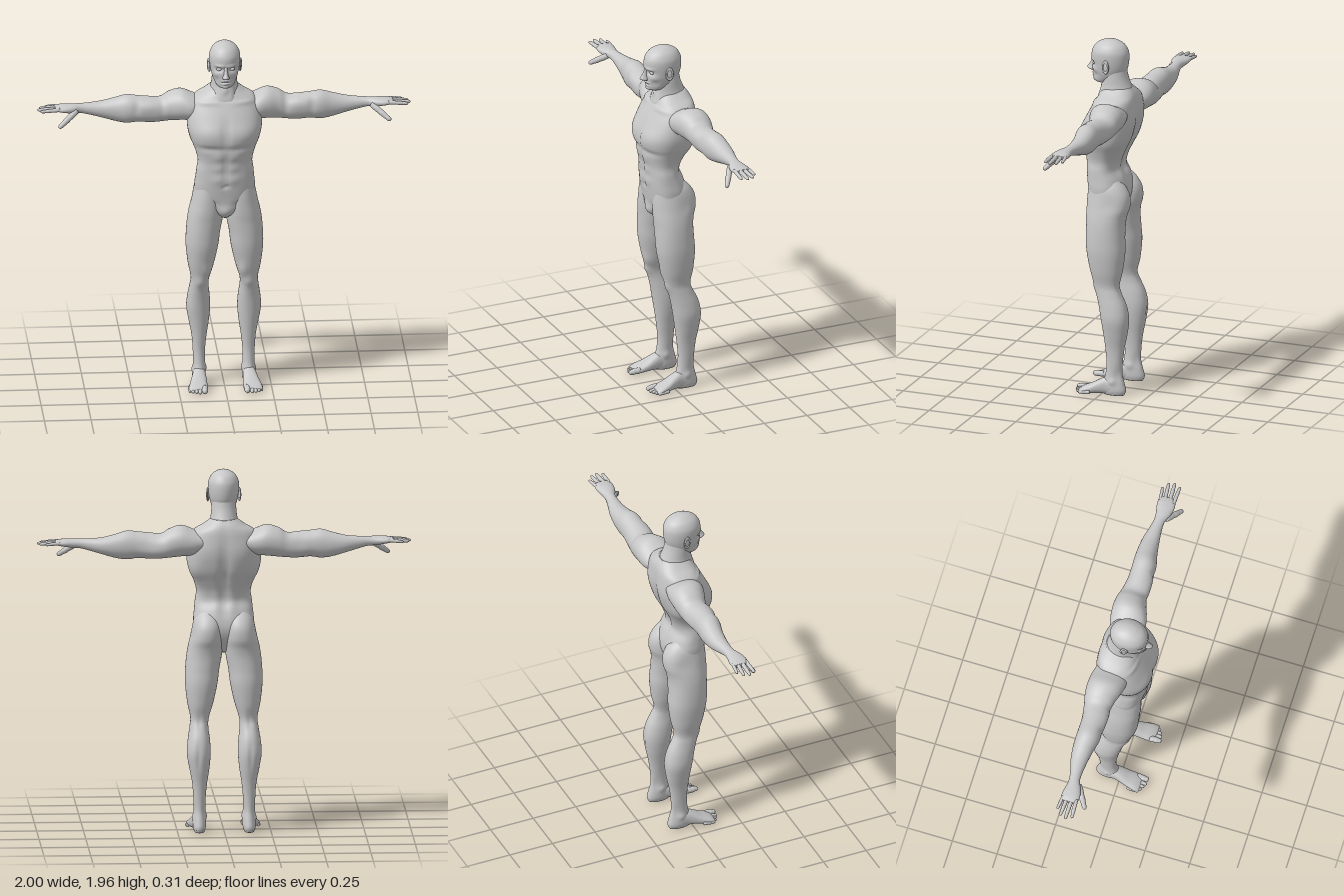
import * as THREE from 'three';

const skin = new THREE.MeshStandardMaterial({ color: 0xc8c8c8 });
skin.name = 'skin grey';

// Catmull-Rom blend of whole rows
function blend(rows, i, f) {
  const at = (k) => rows[Math.min(rows.length - 1, Math.max(0, k))];
  const [p, q, r, s] = [at(i - 1), at(i), at(i + 1), at(i + 2)];
  return q.map((_, c) => q[c] + 0.5 * f * (r[c] - p[c] +
    f * (2 * p[c] - 5 * q[c] + 4 * r[c] - s[c] + f * (3 * (q[c] - r[c]) + s[c] - p[c]))));
}

// Smooth closed loft. A row is [t, a0, a1, b0, b1]; axes (t,a,b) are
// x: (x,y,z)   y: (y,z,x)   z: (z,x,y).
// Muscles are soft bumps [x,y,z, sx,sy,sz, amount] pushed along the normal.
function loft(axis, rows, { power = 2, seg = 40, steps = 6, muscles = [] } = {}) {
  if (rows[0][0] > rows[rows.length - 1][0]) rows = [...rows].reverse();
  const shift = 'xyz'.indexOf(axis), pos = [], idx = [];
  const put = (t, a, b) => {
    const v = [0, 0, 0];
    [t, a, b].forEach((n, k) => { v[(shift + k) % 3] = n; });
    pos.push(...v);
  };
  const soft = (n) => Math.sign(n) * Math.abs(n) ** (2 / power);
  const rings = [];
  for (let i = 0; i < rows.length - 1; i++)
    for (let k = 0; k < steps; k++) rings.push(blend(rows, i, k / steps));
  rings.push(rows[rows.length - 1]);
  for (const [t, a0, a1, b0, b1] of rings)
    for (let j = 0; j < seg; j++) {
      const w = (j / seg) * Math.PI * 2;
      put(t, (a0 + a1) / 2 + (a1 - a0) / 2 * soft(Math.cos(w)), (b0 + b1) / 2 + (b1 - b0) / 2 * soft(Math.sin(w)));
    }
  for (let i = 0; i < rings.length - 1; i++)
    for (let j = 0; j < seg; j++) {
      const a = i * seg + j, b = i * seg + (j + 1) % seg;
      idx.push(a, b, b + seg, a, b + seg, a + seg);
    }
  // end caps
  for (const end of [0, rings.length - 1]) {
    const [t, a0, a1, b0, b1] = rings[end], c = pos.length / 3;
    put(t, (a0 + a1) / 2, (b0 + b1) / 2);
    for (let j = 0; j < seg; j++) {
      const a = end * seg + j, b = end * seg + (j + 1) % seg;
      idx.push(c, ...(end ? [a, b] : [b, a]));
    }
  }
  const g = new THREE.BufferGeometry();
  g.setAttribute('position', new THREE.Float32BufferAttribute(pos, 3));
  g.setIndex(idx);
  g.computeVertexNormals();
  if (muscles.length) {
    const p = g.attributes.position, n = g.attributes.normal;
    for (let i = 0; i < p.count; i++) {
      let d = 0;
      for (const [x, y, z, sx, sy, sz, amount] of muscles)
        d += amount * Math.exp(-(((Math.abs(p.getX(i)) - x) / sx) ** 2) - ((p.getY(i) - y) / sy) ** 2 - ((p.getZ(i) - z) / sz) ** 2);
      p.setXYZ(i, p.getX(i) + n.getX(i) * d, p.getY(i) + n.getY(i) * d, p.getZ(i) + n.getZ(i) * d);
    }
    g.computeVertexNormals();
  }
  return g;
}

// Rows symmetric about x = 0: [y, zBack, zFront, halfWidth]
const centred = (rows) => rows.map(([y, b, f, w]) => [y, b, f, -w, w]);

// Jointed finger or toe between two points
function digit(from, to, r) {
  const a = new THREE.Vector3(...from), d = new THREE.Vector3(...to).sub(a), L = d.length();
  const rows = [[0, 0.9], [0.25, 1], [0.45, 0.9], [0.55, 0.97], [0.75, 0.82], [0.9, 0.74], [0.97, 0.5], [1, 0.1]]
    .map(([t, s]) => [t * L, -r * s, r * s, -r * s, r * s]);
  const g = loft('x', rows, { seg: 14, steps: 3 });
  g.applyQuaternion(new THREE.Quaternion().setFromUnitVectors(new THREE.Vector3(1, 0, 0), d.normalize()));
  return g.translate(a.x, a.y, a.z);
}

function mirror(g) {
  const m = g.clone().scale(-1, 1, 1), i = m.index.array;
  for (let k = 0; k < i.length; k += 3) [i[k], i[k + 1]] = [i[k + 1], i[k]];
  m.computeVertexNormals();
  return m;
}

export function createModel() {
  const model = new THREE.Group();
  model.name = 'standing figure';
  const add = (name, g) => {
    const m = new THREE.Mesh(g, skin);
    m.name = name;
    model.add(m);
  };
  const pair = (name, g) => { add('left ' + name, g); add('right ' + name, mirror(g)); };

  // Trunk with chest, abdomen and back muscles
  add('torso', loft('y', centred([
    [0.97, -0.04, 0.05, 0.02], [1.0, -0.06, 0.085, 0.055], [1.05, -0.09, 0.098, 0.13], [1.1, -0.105, 0.105, 0.157],
    [1.15, -0.102, 0.112, 0.162], [1.2, -0.085, 0.117, 0.157], [1.25, -0.06, 0.118, 0.152], [1.3, -0.07, 0.123, 0.146],
    [1.36, -0.1, 0.135, 0.16], [1.42, -0.13, 0.144, 0.183], [1.48, -0.146, 0.139, 0.198], [1.54, -0.152, 0.118, 0.198],
    [1.6, -0.15, 0.088, 0.185], [1.64, -0.145, 0.065, 0.16], [1.67, -0.135, 0.05, 0.11], [1.7, -0.115, 0.03, 0.07],
  ]), {
    power: 2.4, seg: 72, steps: 7, muscles: [
      [0.09, 1.46, 0.13, 0.08, 0.055, 0.08, 0.011], [0.08, 1.385, 0.13, 0.09, 0.016, 0.06, -0.007],
      [0, 1.47, 0.14, 0.013, 0.08, 0.05, -0.008], [0, 1.27, 0.13, 0.011, 0.09, 0.05, -0.006],
      [0.04, 1.335, 0.12, 0.03, 0.025, 0.05, 0.005], [0.04, 1.27, 0.12, 0.03, 0.025, 0.05, 0.005],
      [0.04, 1.205, 0.12, 0.032, 0.028, 0.05, 0.005], [0, 1.165, 0.115, 0.01, 0.011, 0.04, -0.009],
      [0.09, 1.06, 0.09, 0.05, 0.02, 0.05, -0.007], [0, 1.02, 0.09, 0.03, 0.03, 0.05, 0.012],
      [0, 1.4, -0.13, 0.024, 0.18, 0.07, -0.018], [0.1, 1.53, -0.15, 0.06, 0.06, 0.05, 0.005],
      [0.16, 1.42, -0.07, 0.05, 0.07, 0.07, 0.012], [0.04, 1.24, -0.06, 0.028, 0.08, 0.05, 0.009],
      [0.1, 1.625, 0.06, 0.07, 0.012, 0.05, 0.006],
    ],
  }));

  add('neck', loft('y', centred([
    [1.58, -0.14, 0.07, 0.11], [1.63, -0.142, 0.07, 0.1], [1.67, -0.128, 0.06, 0.082], [1.71, -0.108, 0.052, 0.071],
    [1.76, -0.09, 0.05, 0.066], [1.82, -0.08, 0.045, 0.06],
  ]), { muscles: [[0, 1.69, 0.06, 0.012, 0.02, 0.03, 0.007], [0.035, 1.66, 0.05, 0.015, 0.05, 0.04, 0.006]] }));

  // Head with brow, sockets, cheeks, lips and chin
  add('head', loft('y', centred([
    [1.712, 0.01, 0.078, 0.022], [1.722, -0.01, 0.095, 0.042], [1.74, -0.04, 0.102, 0.055], [1.765, -0.068, 0.104, 0.066],
    [1.795, -0.086, 0.106, 0.074], [1.83, -0.094, 0.107, 0.08], [1.87, -0.096, 0.111, 0.083], [1.9, -0.09, 0.105, 0.079],
    [1.93, -0.07, 0.084, 0.062], [1.95, -0.035, 0.048, 0.034], [1.957, -0.005, 0.015, 0.01],
  ]), {
    seg: 80, steps: 8, muscles: [
      [0.034, 1.825, 0.095, 0.017, 0.012, 0.03, -0.013], [0.03, 1.846, 0.1, 0.028, 0.008, 0.03, 0.007],
      [0.05, 1.795, 0.075, 0.018, 0.016, 0.03, 0.005], [0.05, 1.762, 0.07, 0.016, 0.02, 0.03, -0.004],
      [0, 1.762, 0.105, 0.02, 0.005, 0.03, 0.007], [0, 1.753, 0.105, 0.026, 0.0035, 0.03, -0.006],
      [0, 1.745, 0.105, 0.018, 0.005, 0.03, 0.006], [0, 1.727, 0.1, 0.018, 0.009, 0.03, 0.006],
    ],
  }));
  add('nose', loft('y', centred([
    [1.773, 0.09, 0.112, 0.012], [1.779, 0.088, 0.132, 0.018], [1.788, 0.088, 0.14, 0.017], [1.8, 0.088, 0.133, 0.012],
    [1.82, 0.088, 0.12, 0.009], [1.84, 0.088, 0.113, 0.01], [1.852, 0.088, 0.108, 0.008],
  ]), { seg: 24 }));
  pair('eye', new THREE.SphereGeometry(0.013, 20, 14).scale(1.15, 0.75, 1).translate(0.034, 1.825, 0.083));
  const placeEar = (g) => g.rotateY(Math.PI / 2 - 0.3).translate(0.084, 1.822, 0.003);
  pair('ear rim', placeEar(new THREE.TorusGeometry(0.017, 0.005, 10, 28).scale(1, 1.75, 1)));
  pair('ear', placeEar(new THREE.SphereGeometry(0.017, 20, 14).scale(1, 1.7, 0.25)));

  // Arm from shoulder to knuckles
  pair('arm', loft('x', [
    [0.11, 1.53, 1.62, -0.135, 0.02], [0.17, 1.505, 1.646, -0.15, 0.045], [0.23, 1.5, 1.667, -0.155, 0.035],
    [0.29, 1.495, 1.652, -0.151, 0.014], [0.34, 1.49, 1.625, -0.139, 0.008], [0.4, 1.488, 1.628, -0.127, 0.006],
    [0.46, 1.493, 1.634, -0.125, 0.004], [0.52, 1.486, 1.64, -0.127, 0], [0.58, 1.495, 1.624, -0.126, -0.014],
    [0.65, 1.515, 1.607, -0.118, -0.025], [0.72, 1.535, 1.6, -0.1, -0.032], [0.77, 1.547, 1.598, -0.09, -0.031],
    [0.81, 1.548, 1.598, -0.092, -0.014], [0.85, 1.553, 1.597, -0.1, -0.004], [0.88, 1.56, 1.594, -0.101, -0.005],
    [0.905, 1.567, 1.588, -0.097, -0.012],
  ], {
    power: 2.1, seg: 44, muscles: [
      [0.33, 1.58, 0.01, 0.02, 0.06, 0.06, -0.006], [0.4, 1.59, 0, 0.05, 0.03, 0.04, 0.006],
      [0.4, 1.53, -0.12, 0.07, 0.03, 0.04, 0.006], [0.47, 1.58, 0, 0.02, 0.04, 0.03, -0.006],
      [0.85, 1.55, -0.05, 0.03, 0.02, 0.025, -0.006],
    ],
  }));
  [['little finger', -0.09, 0.958, -0.1, 0.0095], ['ring finger', -0.066, 0.99, -0.075, 0.011],
    ['middle finger', -0.041, 1, -0.043, 0.0115], ['index finger', -0.017, 0.985, -0.011, 0.011]]
    .forEach(([name, z0, x1, z1, r]) => pair(name, digit([0.88, 1.579, z0], [x1, 1.572, z1], r)));
  pair('thumb', digit([0.79, 1.567, -0.03], [0.889, 1.494, 0.034], 0.0165));

  // Leg from buttock to heel
  pair('leg', loft('y', [
    [1.2, -0.065, 0.06, 0.05, 0.13], [1.16, -0.108, 0.09, 0.016, 0.155], [1.11, -0.135, 0.098, 0.006, 0.169],
    [1.05, -0.137, 0.1, 0.003, 0.182], [1.0, -0.122, 0.1, 0.006, 0.192], [0.95, -0.115, 0.097, 0.011, 0.2],
    [0.88, -0.116, 0.095, 0.024, 0.206], [0.8, -0.12, 0.09, 0.034, 0.207], [0.7, -0.11, 0.07, 0.056, 0.196],
    [0.62, -0.097, 0.047, 0.08, 0.18], [0.57, -0.11, 0.033, 0.084, 0.184], [0.5, -0.138, 0.016, 0.076, 0.195],
    [0.43, -0.15, 0.004, 0.073, 0.2], [0.35, -0.141, -0.008, 0.08, 0.187], [0.27, -0.125, -0.018, 0.092, 0.172],
    [0.19, -0.115, -0.025, 0.1, 0.166], [0.12, -0.115, -0.02, 0.1, 0.165], [0.07, -0.125, -0.005, 0.098, 0.167],
    [0.03, -0.134, 0, 0.099, 0.168], [0.004, -0.124, -0.01, 0.107, 0.16],
  ], {
    power: 2.15, seg: 52, muscles: [
      [0.13, 0.6, 0.045, 0.028, 0.03, 0.04, 0.008], [0.095, 0.67, 0.05, 0.025, 0.04, 0.05, 0.008],
      [0.135, 0.6, -0.1, 0.022, 0.05, 0.04, -0.008], [0.14, 0.42, -0.15, 0.012, 0.07, 0.04, -0.006],
      [0.1, 0.09, -0.06, 0.02, 0.018, 0.02, 0.007], [0.166, 0.08, -0.065, 0.02, 0.018, 0.02, 0.007],
      [0.165, 0.12, -0.1, 0.025, 0.04, 0.025, -0.006], [0.1, 0.12, -0.1, 0.025, 0.04, 0.025, -0.006],
      [0.19, 1.08, -0.06, 0.03, 0.05, 0.05, -0.007],
    ],
  }));

  // Foot and toes
  pair('foot', loft('z', [
    [-0.125, 0.115, 0.152, 0.008, 0.05], [-0.08, 0.102, 0.167, 0.002, 0.09], [-0.03, 0.099, 0.17, 0.004, 0.1],
    [0.01, 0.097, 0.178, 0.005, 0.083], [0.05, 0.096, 0.189, 0.003, 0.06], [0.09, 0.096, 0.197, 0.002, 0.042],
    [0.112, 0.1, 0.194, 0.004, 0.03], [0.12, 0.108, 0.185, 0.008, 0.022],
  ], { power: 2.3 }));
  [[0.112, 0.152, 0.017], [0.137, 0.149, 0.012], [0.156, 0.141, 0.0115], [0.174, 0.131, 0.011], [0.189, 0.118, 0.0105]]
    .forEach(([x, z, r], i) => pair('toe ' + (i + 1), digit([x, r + 0.006, z - 0.065], [x + 0.003, r + 0.001, z], r)));

  return model;
}
